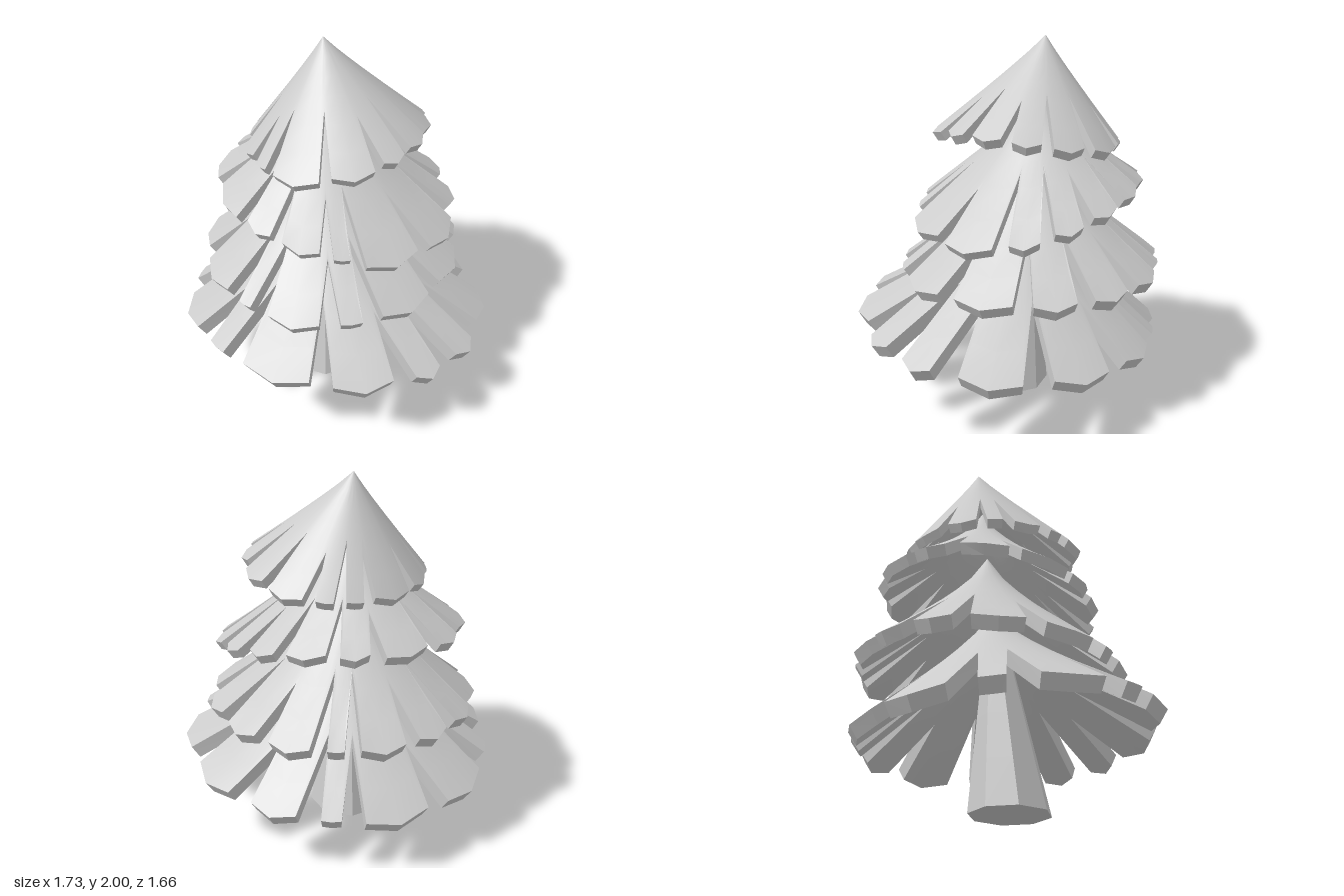
import * as THREE from 'three';
import { toCreasedNormals } from 'three/addons/utils/BufferGeometryUtils.js';

const { degToRad: rad, lerp } = THREE.MathUtils;

// Each tier: apex and rim heights, rim radius and its stretch along x, rim centre, slope curve, rim tilt,
// thickness, then the first leaf's angle, the uneven spacing (amount, waves, phase)
// and the half widths of the leaves, in degrees.
const TIERS = [
  { name: 'topBranches', top: 2, base: 1.505, R: 0.475, stretch: -0.04, rimX: -0.02, rimZ: -0.09, curve: 0.94,
    tiltX: 0.11, tiltZ: 0, thick: 0.05, start: -3, sway: [0, 1, 0],
    leaves: [10, 8, 13, 15, 5, 9, 5, 10, 13, 5, 5, 11, 10, 9] },
  { name: 'upperBranches', top: 1.74, base: 1.165, R: 0.61, stretch: 0.06, rimX: -0.04, rimZ: -0.09, curve: 0.77,
    tiltX: -0.13, tiltZ: -0.06, thick: 0.055, start: 31, sway: [0, 1, 0],
    leaves: [14, 4, 10, 8, 13, 11, 8, 11, 7, 10, 8, 7, 7, 12] },
  { name: 'middleBranches', top: 1.45, base: 0.78, R: 0.7, stretch: -0.01, rimX: -0.055, rimZ: -0.085, curve: 0.78,
    tiltX: -0.01, tiltZ: -0.03, thick: 0.07, start: 28, sway: [9, 1, 140],
    leaves: [11, 4, 10, 3, 11, 11, 9, 9, 11, 4, 10, 9, 9, 12] },
  { name: 'lowerBranches', top: 1.12, base: 0.455, R: 0.82, stretch: 0.025, rimX: 0.01, rimZ: 0, curve: 0.8,
    tiltX: 0.04, tiltZ: 0.08, thick: 0.08, start: -1, sway: [4, 2, 0],
    leaves: [6, 6, 13, 14, 4, 10, 4, 12, 14, 4, 9, 10, 10] },
];

// Outline as [angle, radius]: blunt three-point leaf tips with a notch between leaves
function outlineOf({ leaves, start, R, stretch, sway: [amount, waves, phase] }) {
  const gap = (360 - 2 * leaves.reduce((sum, w) => sum + w, 0)) / leaves.length;
  const pts = [];
  let a = start - leaves[0];
  leaves.forEach((w, i) => {
    const r = R * (1 + stretch * Math.cos(2 * rad(a + w)));
    pts.push([a, r], [a + w, r * (w > 5 ? 1.04 : 1.005)], [a + 2 * w, r]);
    pts.push([a + 2 * w + gap / 2, r * (i % 3 === 1 ? 0.62 : 0.52)]);
    a += 2 * w + gap;
  });
  return pts.map(([angle, r]) => [rad(angle + amount * Math.cos(waves * rad(angle - phase))), r]);
}

// Hollow conical skirt with a thick, notched rim
function tierGeometry(tier) {
  const { top, base, R, rimX, rimZ, curve, tiltX, tiltZ, thick } = tier;
  const outline = outlineOf(tier);
  const inner = R * 0.42, rings = 6;
  const apexX = -0.03 - 0.05 * top, apexZ = 0.05 - 0.09 * top;
  const point = (i, j, under) => {
    const [angle, reach] = outline[j % outline.length];
    const r = i <= 3 ? inner * i / 3 : inner + (reach - inner) * (i - 3) / 3;
    const s = r / R;
    const rr = under ? Math.max(0, r - thick * 0.55) : r;
    const dx = rr * Math.cos(angle), dz = rr * Math.sin(angle);
    return [
      lerp(apexX, rimX, s) + dx,
      top + (base - top) * s ** curve + tiltX * dx + tiltZ * dz - (under ? thick * 0.88 : 0),
      lerp(apexZ, rimZ, s) + dz,
    ];
  };
  const pos = [];
  const tri = (...corners) => corners.forEach((v) => pos.push(...v));
  for (let j = 0; j < outline.length; j++) {
    // Upper and lower skins
    for (let i = 0; i < rings; i++) {
      for (const under of [false, true]) {
        const a = point(i, j, under), b = point(i, j + 1, under);
        const c = point(i + 1, j, under), d = point(i + 1, j + 1, under);
        if (under) tri(a, c, d); else tri(a, d, c);
        if (i > 0) { if (under) tri(a, d, b); else tri(a, b, d); }
      }
    }
    // Rim wall
    const c = point(rings, j, false), d = point(rings, j + 1, false);
    const cu = point(rings, j, true), du = point(rings, j + 1, true);
    tri(c, d, cu);
    tri(d, du, cu);
  }
  const geo = new THREE.BufferGeometry();
  geo.setAttribute('position', new THREE.Float32BufferAttribute(pos, 3));
  return toCreasedNormals(geo, 0.6);
}

// Eight-sided trunk, tapering and leaning with the tree
function trunkGeometry() {
  const geo = new THREE.CylinderGeometry(0.05, 0.215, 1, 8, 4);
  geo.rotateY(0.54);
  geo.translate(0, 0.5, 0);
  const p = geo.attributes.position;
  for (let i = 0; i < p.count; i++) {
    const y = p.getY(i);
    p.setX(i, p.getX(i) - 0.04 - 0.04 * y);
    p.setZ(i, p.getZ(i) + 0.03 - 0.07 * y);
  }
  return geo;
}

export function createModel() {
  const group = new THREE.Group();
  group.name = 'pineTree';
  const foliage = new THREE.MeshStandardMaterial({ color: 0xcccccc });
  const bark = new THREE.MeshStandardMaterial({ color: 0xcccccc, flatShading: true });

  const trunk = new THREE.Mesh(trunkGeometry(), bark);
  trunk.name = 'trunk';
  group.add(trunk);

  for (const tier of TIERS) {
    const mesh = new THREE.Mesh(tierGeometry(tier), foliage);
    mesh.name = tier.name;
    group.add(mesh);
  }
  return group;
}
